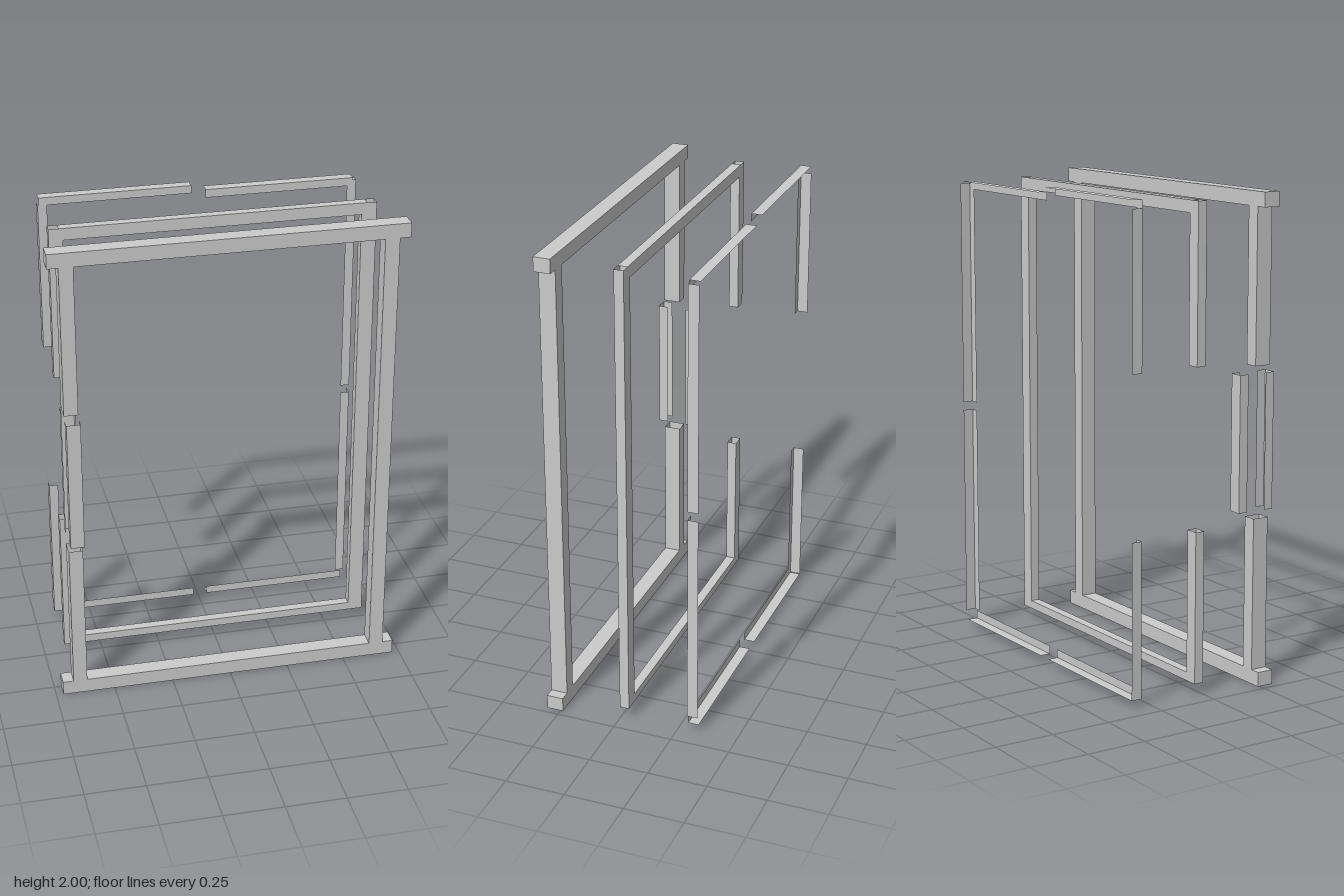
import * as THREE from 'three';

const solid = new THREE.MeshStandardMaterial({ color: 0xcccccc, flatShading: true });
const sheet = new THREE.MeshStandardMaterial({ color: 0xcccccc, flatShading: true, side: THREE.DoubleSide });

// Sheet section swept straight along an axis, open at both ends.
// Profile points are [x, z] for axis 'y' and [z, y] for axis 'x'.
function sweep(name, profile, axis, from, to) {
  const place = ([a, b], t) => (axis === 'y' ? [a, t, b] : [t, b, a]);
  const pos = [];
  for (let i = 0; i < profile.length - 1; i++) {
    const a = place(profile[i], from), b = place(profile[i + 1], from);
    const c = place(profile[i + 1], to), d = place(profile[i], to);
    pos.push(...a, ...b, ...c, ...a, ...c, ...d);
  }
  const geo = new THREE.BufferGeometry();
  geo.setAttribute('position', new THREE.Float32BufferAttribute(pos, 3));
  geo.computeVertexNormals();
  const mesh = new THREE.Mesh(geo, sheet);
  mesh.name = name;
  return mesh;
}

// Closed rectangular section
const tube = (a0, a1, b0, b1) => [[a0, b0], [a0, b1], [a1, b1], [a1, b0], [a0, b0]];

function box(name, x0, x1, y0, y1, z0, z1) {
  const mesh = new THREE.Mesh(new THREE.BoxGeometry(x1 - x0, y1 - y0, z1 - z0), solid);
  mesh.name = name;
  mesh.position.set((x0 + x1) / 2, (y0 + y1) / 2, (z0 + z1) / 2);
  return mesh;
}

function group(name, ...parts) {
  const g = new THREE.Group();
  g.name = name;
  g.add(...parts);
  return g;
}

export function createModel() {
  // Front frame: solid rails overhanging hollow stiles, one stile interrupted
  const leftPost = tube(0.615, 0.675, 0.24, 0.31);
  const rightPost = tube(-0.675, -0.617, 0.24, 0.31);
  const front = group('frontFrame',
    box('bottomRail', -0.72, 0.72, 0, 0.06, 0.24, 0.31),
    box('topRail', -0.72, 0.72, 1.94, 2, 0.24, 0.31),
    sweep('leftStile', leftPost, 'y', 0.06, 1.94),
    sweep('lowerRightStile', rightPost, 'y', 0.06, 0.69),
    sweep('upperRightStile', rightPost, 'y', 1.31, 1.94));

  // Two channel halves that close the gap in the front stile
  const shell = (open, closed) => [[-0.67, open], [-0.67, closed], [-0.613, closed], [-0.613, open]];
  const cover = group('splitCover',
    sweep('frontCover', shell(0.295, 0.335), 'y', 0.72, 1.28),
    sweep('rearCover', shell(0.21, 0.17), 'y', 0.72, 1.28));

  // Middle frame: slimmer hollow members with open ends
  const z0 = -0.035, z1 = 0.005;
  const midRight = tube(-0.665, -0.608, z0, z1);
  const middle = group('middleFrame',
    sweep('bottomRail', tube(z0, z1, 0.045, 0.08), 'x', -0.625, 0.63),
    sweep('topRail', tube(z0, z1, 1.925, 1.975), 'x', -0.625, 0.63),
    sweep('leftStile', tube(0.608, 0.67, z0, z1), 'y', 0.045, 1.975),
    sweep('lowerRightStile', midRight, 'y', 0.045, 0.67),
    sweep('upperRightStile', midRight, 'y', 1.33, 1.975));

  // Rear trim: thin angle strips, front leg plus an outer leg going back
  const zf = -0.29, zb = -0.335;
  const upright = (inner, outer) => [[inner, zf], [outer, zf], [outer, zb]];
  const ledge = (inner, outer) => [[zf, inner], [zf, outer], [zb, outer]];
  const rear = group('rearTrim',
    sweep('topRightStrip', ledge(1.96, 1.993), 'x', -0.66, -0.03),
    sweep('topLeftStrip', ledge(1.935, 1.97), 'x', 0.03, 0.655),
    sweep('bottomRightStrip', ledge(0.065, 0.03), 'x', -0.66, -0.03),
    sweep('bottomLeftStrip', ledge(0.065, 0.03), 'x', 0.03, 0.655),
    sweep('lowerLeftStrip', upright(0.63, 0.668), 'y', 0.07, 0.975),
    sweep('upperLeftStrip', upright(0.63, 0.668), 'y', 1.01, 1.96),
    sweep('lowerRightStrip', upright(-0.625, -0.663), 'y', 0.03, 0.67),
    sweep('upperRightStrip', upright(-0.625, -0.663), 'y', 1.33, 1.96));

  return group('explodedFrame', front, cover, middle, rear);
}
